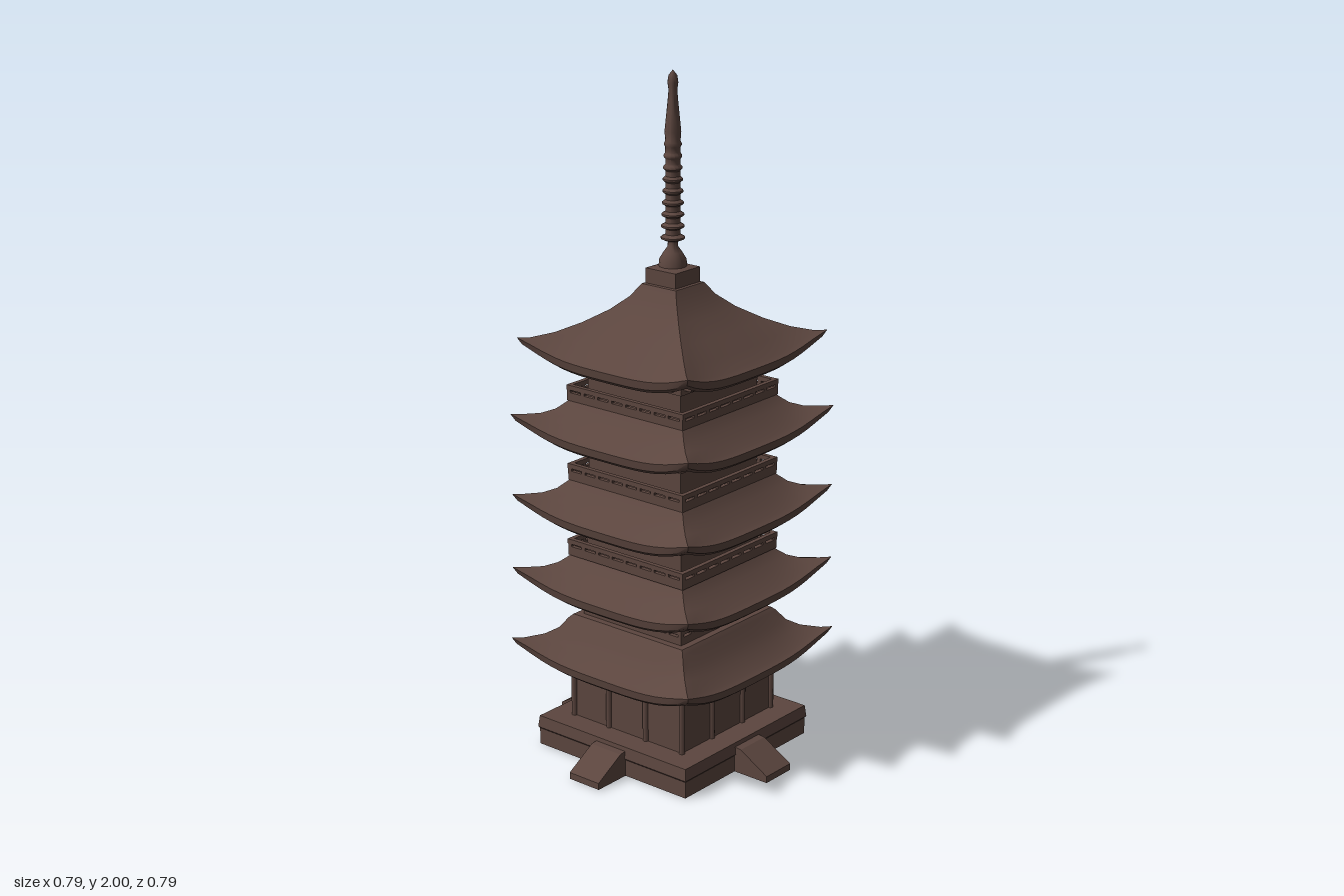
import * as THREE from 'three';
import { mergeGeometries, toCreasedNormals } from 'three/addons/utils/BufferGeometryUtils.js';

const wood = new THREE.MeshStandardMaterial({ color: 0x5c463f });
wood.name = 'dark brown wood';

function add(parent, name, geometry, x = 0, y = 0, z = 0) {
  const mesh = new THREE.Mesh(geometry, wood);
  mesh.name = name;
  mesh.position.set(x, y, z);
  parent.add(mesh);
  return mesh;
}

// Box standing on y0
function block(parent, name, w, y0, y1, d = w, x = 0, z = 0) {
  return add(parent, name, new THREE.BoxGeometry(w, y1 - y0, d), x, (y0 + y1) / 2, z);
}

// Square loft: each ring is [half width, y, corner lift, corner flare], bottom to top
function squareLoft(rings, steps = 16) {
  const sides = [];
  for (let s = 0; s < 4; s++) {
    const pos = [], index = [];
    for (const [h, y, lift = 0, flare = 0] of rings) {
      for (let i = 0; i <= steps; i++) {
        const t = (i / steps) * 2 - 1, a = Math.abs(t);
        const r = h + flare * a ** 8;
        pos.push(t * r, y + lift * a ** 3.5, r);
      }
    }
    const n = steps + 1;
    for (let j = 0; j < rings.length - 1; j++) {
      for (let i = 0; i < steps; i++) {
        const a = j * n + i, b = a + 1, c = a + n, d = c + 1;
        index.push(a, b, d, a, d, c);
      }
    }
    const g = new THREE.BufferGeometry();
    g.setAttribute('position', new THREE.Float32BufferAttribute(pos, 3));
    g.setIndex(index);
    sides.push(g.rotateY((s * Math.PI) / 2));
  }
  return toCreasedNormals(mergeGeometries(sides), 0.6);
}

// Curved roof with a thick upturned eave; y is the underside of the eave
function roof(parent, y, half, slope) {
  add(parent, 'roof', squareLoft([
    [0.15, y + 0.03],
    [half - 0.08, y + 0.012, 0.015],
    [half - 0.028, y, 0.045, 0.006],
    [half - 0.012, y + 0.012, 0.05, 0.01],
    [half - 0.008, y + 0.036, 0.046, 0.016],
    [half - 0.025, y + 0.043, 0.038, 0.008],
    ...slope.map(([h, dy, lift]) => [h, y + dy, lift]),
  ]));
}

// Railing around a storey
function railing(parent, y0, y1, half) {
  const rail = new THREE.Group();
  rail.name = 'railing';
  for (let s = 0; s < 4; s++) {
    const side = new THREE.Group();
    side.name = 'railingSide';
    side.rotation.y = (s * Math.PI) / 2;
    const z = half - 0.007;
    block(side, 'topRail', half * 2, y1 - 0.014, y1, 0.014, 0, z);
    block(side, 'lowerPanel', half * 2 - 0.01, y0, y1 - 0.022, 0.012, 0, z);
    for (let i = 0; i < 9; i++) {
      block(side, 'post', 0.012, y0, y1 - 0.005, 0.012, (i / 8 - 0.5) * (half * 2 - 0.014), z);
    }
    rail.add(side);
  }
  parent.add(rail);
}

export function createModel() {
  const model = new THREE.Group();
  model.name = 'pagoda';

  // Stone platform with four ramped stairs
  add(model, 'platform', squareLoft([
    [0, 0], [0.278, 0], [0.278, 0.05], [0.282, 0.055], [0.278, 0.09], [0, 0.09],
  ], 1));
  const ramp = new THREE.Shape([
    [0.26, 0], [0.395, 0], [0.395, 0.02], [0.3, 0.075], [0.26, 0.08],
  ].map(([x, y]) => new THREE.Vector2(x, y)));
  for (let s = 0; s < 4; s++) {
    const g = new THREE.ExtrudeGeometry(ramp, { depth: 0.11, bevelEnabled: false });
    add(model, 'stair', g.translate(0, 0, -0.055)).rotation.y = (s * Math.PI) / 2;
  }

  // Ground floor hall with posts and a top beam
  block(model, 'groundHall', 0.41, 0.08, 0.3);
  block(model, 'groundBeam', 0.43, 0.25, 0.29);
  for (let s = 0; s < 4; s++) {
    const side = new THREE.Group();
    side.name = 'hallPosts';
    side.rotation.y = (s * Math.PI) / 2;
    for (const x of [-0.205, -0.07, 0.07]) {
      add(side, 'hallPost', new THREE.CylinderGeometry(0.009, 0.009, 0.18, 8), x, 0.17, 0.205);
    }
    model.add(side);
  }

  // Four lower roofs, each carrying a railed storey
  const storeys = [
    { y: 0.26, half: 0.325, top: 0.41, rail: 0.455, railHalf: 0.185, wall: 0.17, next: 0.48 },
    { y: 0.48, half: 0.32, top: 0.6, rail: 0.645, railHalf: 0.215, wall: 0.175, next: 0.705 },
    { y: 0.705, half: 0.318, top: 0.83, rail: 0.875, railHalf: 0.213, wall: 0.17, next: 0.945 },
    { y: 0.945, half: 0.318, top: 1.068, rail: 1.11, railHalf: 0.213, wall: 0.17, next: 1.17 },
  ];
  storeys.forEach((st, i) => {
    const tier = new THREE.Group();
    tier.name = 'tier' + (i + 1);
    const rise = st.top - st.y, inner = 0.205;
    roof(tier, st.y, st.half, [
      [0.265, 0.043 + (rise - 0.043) * 0.3, 0.016],
      [0.235, 0.043 + (rise - 0.043) * 0.56, 0.007],
      [0.215, rise - 0.012, 0.002],
      [inner, rise, 0],
      [0.1, rise, 0],
    ]);
    railing(tier, st.top - 0.004, st.rail, st.railHalf);
    block(tier, 'storeyWall', st.wall * 2, st.top - 0.01, st.next + 0.03);
    block(tier, 'eaveBeam', st.wall * 2 + 0.022, st.next - 0.022, st.next + 0.02);
    // Bracket blocks under the next eave
    for (let s = 0; s < 4; s++) {
      const side = new THREE.Group();
      side.name = 'brackets';
      side.rotation.y = (s * Math.PI) / 2;
      for (let k = -2; k <= 2; k++) {
        block(side, 'bracket', 0.025, st.next - 0.008, st.next + 0.025, 0.05, k * 0.078, st.wall + 0.01);
      }
      tier.add(side);
    }
    model.add(tier);
  });

  // Tall top roof
  roof(model, 1.17, 0.302, [
    [0.235, 0.075, 0.02],
    [0.18, 0.112, 0.01],
    [0.125, 0.155, 0.003],
    [0.085, 0.195, 0],
    [0.062, 0.23, 0],
    [0.04, 0.235, 0],
  ]);

  // Finial base and ringed spire
  add(model, 'finialBase', squareLoft([
    [0, 1.39], [0.054, 1.39], [0.054, 1.445], [0.04, 1.45], [0, 1.45],
  ], 1));
  const profile = [[0, 1.44], [0.04, 1.45], [0.038, 1.47], [0.026, 1.49], [0.015, 1.505], [0.014, 1.52]];
  for (let i = 0; i < 9; i++) {
    const y = 1.53 + i * 0.033, r = 0.034 - i * 0.0012;
    profile.push([0.021, y - 0.008], [r, y - 0.002], [r, y + 0.003], [0.021, y + 0.01]);
  }
  profile.push([0.023, 1.83], [0.019, 1.87], [0.014, 1.92], [0.012, 1.945], [0.015, 1.965], [0.012, 1.985], [0, 2]);
  const spire = new THREE.LatheGeometry(profile.map(([x, y]) => new THREE.Vector2(x, y)), 14);
  add(model, 'spire', toCreasedNormals(spire, 0.7));

  return model;
}
